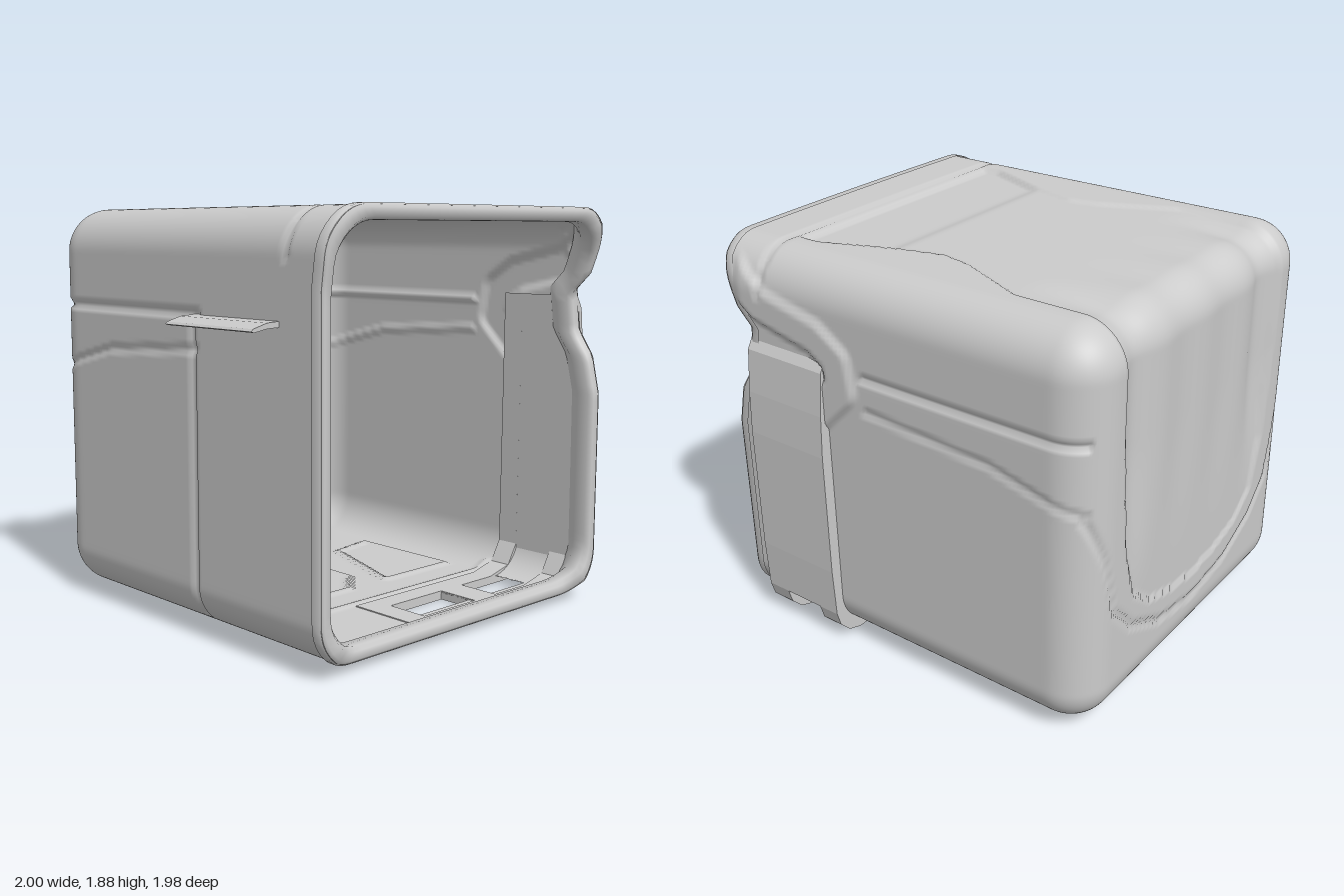
import * as THREE from 'three';
import { mergeVertices } from 'three/addons/utils/BufferGeometryUtils.js';

const CX = 0.04, R = 0.2;
const LO = new THREE.Vector3(-0.86, 0.04, -0.98), HI = new THREE.Vector3(0.94, 1.87, 0.94);
const mat = new THREE.MeshStandardMaterial({ color: 0xcccccc, side: THREE.DoubleSide });
const { smoothstep, clamp, lerp } = THREE.MathUtils;

// Piecewise linear lookup in [[t, value], ...]
function table(t, pts) {
  if (t <= pts[0][0]) return pts[0][1];
  for (let i = 1; i < pts.length; i++) {
    const [a, va] = pts[i - 1], [b, vb] = pts[i];
    if (t <= b) return lerp(va, vb, (t - a) / (b - a));
  }
  return pts[pts.length - 1][1];
}

// Distance from (u, v) to a polyline
function dist(u, v, pts) {
  let best = 9;
  for (let i = 1; i < pts.length; i++) {
    const [ax, ay] = pts[i - 1], dx = pts[i][0] - ax, dy = pts[i][1] - ay;
    const t = clamp(((u - ax) * dx + (v - ay) * dy) / (dx * dx + dy * dy), 0, 1);
    best = Math.min(best, Math.hypot(u - ax - t * dx, v - ay - t * dy));
  }
  return best;
}
const groove = (u, v, pts, depth) => -depth * (1 - smoothstep(dist(u, v, pts), 0.006, 0.022));

// Depth of the front edge: straight on the left, notched on the right, hooded on top
function frontZ(x, y) {
  const left = table(y, [[0.04, 0.9], [0.09, 0.935], [1.55, 0.935], [1.8, 0.97]]);
  const right = table(y, [[0.04, 0.9], [0.09, 0.94], [1, 0.94], [1.18, 0.9], [1.3, 0.82], [1.5, 0.8], [1.58, 0.88], [1.8, 0.96]]);
  const hood = 0.02 * smoothstep(y, 1.7, 1.84) * (1 - (x - CX) ** 2);
  return lerp(left, right, smoothstep(x, 0.78, 0.9)) + hood;
}

// Half width of the grip panel, down the back and along the top
const BACK_W = [[0.4, -0.1], [0.42, 0.02], [0.43, 0.17], [0.49, 0.4], [0.6, 0.54], [0.85, 0.61], [1.3, 0.645], [1.8, 0.66]];
const TOP_W = [[-0.95, 0.67], [-0.5, 0.68], [-0.3, 0.59], [-0.1, 0.5], [0.05, 0.47], [0.2, 0.51], [0.33, 0.55], [0.7, 0.7]];
const SEAM_SIDE = [[0.15, 1.27], [-0.5, 1.23], [-0.78, 1.16], [-0.98, 1.1]];
const SEAM_BACK = [[0.9, 1.12], [0.84, 1.08], [0.76, 0.88], [0.69, 0.6], [0.55, 0.45], [0.3, 0.33], [0, 0.29]];
const BAND = [[0.92, 1.74], [0.74, 1.62], [0.42, 1.55], [0.3, 1.47], [0.28, 1.34], [0.42, 1.2]];
const FLOOR = [
  [[-0.55, 0.15], [0.05, 0.15], [0.2, 0], [0.2, -0.2], [-0.45, -0.25], [-0.6, -0.1], [-0.55, 0.15]],
  [[0.3, 0.15], [0.75, 0.15], [0.75, -0.45], [0.5, -0.4], [0.3, 0.15]],
  [[-0.6, -0.4], [-0.2, -0.4], [-0.1, -0.7], [-0.6, -0.7], [-0.6, -0.4]],
  [[-0.75, 0.34], [0.85, 0.34]], [[-0.05, -0.75], [0.1, -0.45], [0.6, -0.7]],
];

// Surface relief: grip panel, scallops, seams and grooves
function relief(p, n) {
  const dx = Math.abs(p.x - CX);
  let d = 0;
  if (n.z < -0.3 || n.y > 0.3) {
    const w = Math.min(table(p.y, BACK_W), table(p.z, TOP_W));
    const inside = smoothstep(w - dx, -0.005, 0.02) * (1 - smoothstep(p.z, 0.68, 0.72));
    const fade = smoothstep(p.y, 0.55, 1.3) * (1 - smoothstep(p.z, -0.9, -0.4));
    const scallop = 0.04 * Math.exp(-(((dx - 0.53) / 0.1) ** 2)) + 0.006 * (1 - Math.cos(dx * 18)) * (1 - smoothstep(dx, 0.3, 0.45));
    d -= inside * (0.012 + fade * scallop + 0.015 * smoothstep(p.z, 0.25, 0.33));
  }
  if (n.z < -0.6) d += groove(dx, p.y, SEAM_BACK, 0.01);
  if (Math.abs(n.x) > 0.6) {
    d += groove(p.z, p.y, SEAM_SIDE, 0.01) + groove(p.z, p.y, [[0.16, 1.42], [-0.96, 1.42]], 0.02);
    if (n.x < 0) d += groove(p.z, p.y, [[0.13, 1.4], [0.13, 0.1]], 0.015);
  }
  if (n.x > 0.4) d += 0.022 * (1 - smoothstep(dist(p.z, p.y, BAND), 0.06, 0.095)) * (1 - smoothstep(p.z, 0.82, 0.92));
  if (n.y > -0.3 && p.y > 1.65) d += groove(p.z, 0, [[0.73, -1], [0.73, 1]], 0.01);
  if (n.y < -0.7) for (const line of FLOOR) d += groove(p.x, p.z, line, 0.012);
  return d;
}

// Open-fronted shell: a box whose vertices are rounded and then displaced
function shellGeometry() {
  const N = 105, size = HI.clone().sub(LO), mid = HI.clone().add(LO).multiplyScalar(0.5);
  const g = new THREE.BoxGeometry(size.x, size.y, size.z, N, N, N).translate(mid.x, mid.y, mid.z);
  const pos = g.attributes.position, src = g.index.array, front = g.groups[4], keep = [];
  const p = new THREE.Vector3(), q = new THREE.Vector3(), n = new THREE.Vector3();
  // Leave out the front face and the two slots in the floor
  for (let i = 0; i < src.length; i += 3) {
    if (i >= front.start && i < front.start + front.count) continue;
    const c = [0, 1, 2].map(k => p.fromBufferAttribute(pos, src[i + k]).clone());
    c[0].add(c[1]).add(c[2]).divideScalar(3);
    const { x, y, z } = c[0];
    const slot = y < LO.y + 0.001 && z > 0.48 && z < 0.69 && ((x > 0 && x < 0.35) || (x > 0.5 && x < 0.76));
    if (!slot) keep.push(src[i], src[i + 1], src[i + 2]);
  }
  for (let i = 0; i < pos.count; i++) {
    p.fromBufferAttribute(pos, i);
    q.set(clamp(p.x, LO.x + R, HI.x - R), clamp(p.y, LO.y + R, HI.y - R), Math.max(p.z, LO.z + R));
    n.copy(p).sub(q);
    if (n.lengthSq() > 1e-9) {
      n.normalize();
      p.copy(q).addScaledVector(n, R);
    }
    if (p.z > 0) p.z *= frontZ(p.x, p.y) / HI.z;
    p.addScaledVector(n, relief(p, n));
    pos.setXYZ(i, p.x, p.y, p.z);
  }
  g.setIndex(keep);
  g.deleteAttribute('normal');
  g.deleteAttribute('uv');
  g.clearGroups();
  const merged = mergeVertices(g, 1e-4);
  merged.computeVertexNormals();
  return merged;
}

// Rolled rim around the opening: profile of [inset, forward] swept round the front edge
function rimGeometry() {
  const cy = (LO.y + HI.y) / 2, h = HI.y - cy, w = HI.x - CX;
  const s = new THREE.Shape();
  s.moveTo(w - R, -h).absarc(w - R, R - h, R, -Math.PI / 2, 0);
  s.absarc(w - R, h - R, R, 0, Math.PI / 2);
  s.absarc(R - w, h - R, R, Math.PI / 2, Math.PI);
  s.absarc(R - w, R - h, R, Math.PI, Math.PI * 1.5);
  s.closePath();
  const M = 180, ring = s.getSpacedPoints(M).slice(0, M);
  const profile = [[-0.006, -0.05], [-0.006, -0.01], [0.012, 0.006], [0.045, 0.004], [0.06, -0.02], [0.06, -0.08], [0.002, -0.16]];
  const v = [], idx = [];
  profile.forEach(([inset, fwd], j) => ring.forEach((a, i) => {
    v.push(CX + a.x * (1 - inset / w), cy + a.y * (1 - inset / h), frontZ(CX + a.x, cy + a.y) + fwd);
    if (j === 0) return;
    const k = (i + 1) % M, b = (j - 1) * M, t = j * M;
    idx.push(b + i, b + k, t + k, b + i, t + k, t + i);
  }));
  const g = new THREE.BufferGeometry();
  g.setAttribute('position', new THREE.Float32BufferAttribute(v, 3));
  g.setIndex(idx);
  g.computeVertexNormals();
  return g;
}

// Flat strip: closed outline in x-y, extruded from z0 to z1
function strip(points, z0, z1) {
  const shape = new THREE.Shape(points.map(([x, y]) => new THREE.Vector2(x, y)));
  return new THREE.ExtrudeGeometry(shape, { depth: z1 - z0, bevelEnabled: false }).translate(0, 0, z0);
}

export function createModel() {
  const model = new THREE.Group();
  const add = (name, geometry, parent = model) => {
    const mesh = new THREE.Mesh(geometry, mat);
    mesh.name = name;
    parent.add(mesh);
  };
  add('shell', shellGeometry());
  add('rim', rimGeometry());

  // Strap down the side and under the floor, with slots between its two rails
  const strap = new THREE.Group();
  strap.name = 'strap';
  model.add(strap);
  const side = [[0.93, 1.46], [0.965, 1.4], [0.985, 1.2], [0.995, 1], [0.995, 0.4], [0.985, 0.16]];
  const bend = [[0.965, 0.09], [0.91, 0.03], [0.84, 0.005]];
  const under = [[-0.08, 0], [-0.12, 0.015], [-0.12, 0.045]];
  const inner = [[0.72, 0.045], [0.86, 0.08], [0.92, 0.18]];
  for (const [z0, z1] of [[0.37, 0.48], [0.69, 0.81]]) add('strapRail', strip([...side, ...bend, ...under, ...inner], z0, z1), strap);
  add('strapSide', strip([...side, [0.92, 0.16]], 0.48, 0.69), strap);
  add('strapBridge', strip([[0.5, 0.003], [0.35, 0.003], [0.35, 0.045], [0.5, 0.045]], 0.48, 0.69), strap);
  add('strapEnd', strip([[0, 0.003], ...under, [0, 0.045]], 0.48, 0.69), strap);

  // Thin curved tab on the other side
  add('sideTab', strip([[-0.84, 1.42], [-0.92, 1.415], [-0.99, 1.395], [-1, 1.385], [-0.985, 1.38], [-0.92, 1.392], [-0.84, 1.395]], 0.13, 0.69));
  return model;
}
